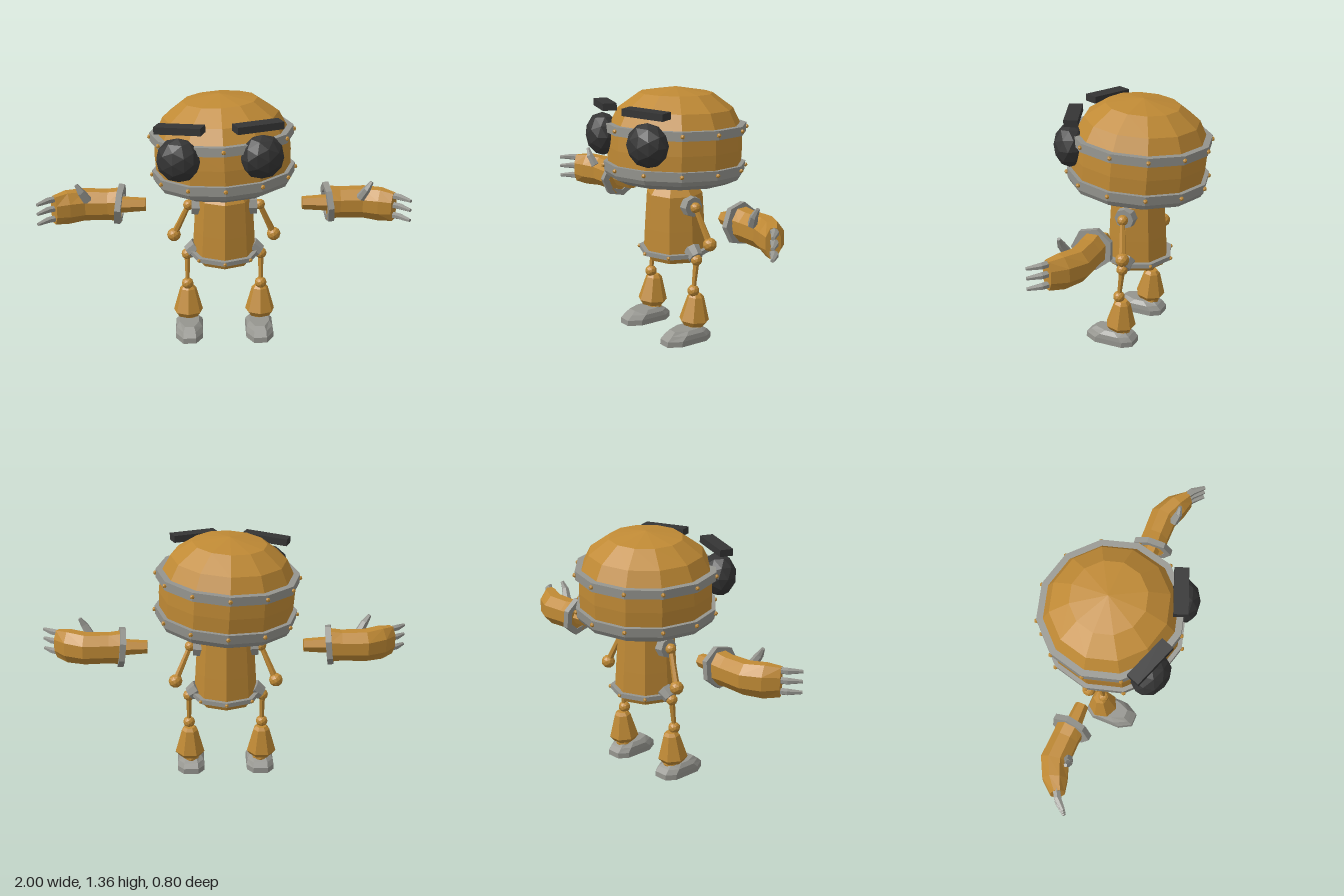
import * as THREE from 'three';

const material = (color) => new THREE.MeshStandardMaterial({ color, flatShading: true, roughness: 0.8 });
const V = (x, y, z) => new THREE.Vector3(x, y, z);

function part(parent, name, geometry, mat) {
  const geo = geometry.index ? geometry.toNonIndexed() : geometry;
  geo.computeVertexNormals();
  const mesh = new THREE.Mesh(geo, mat);
  mesh.name = name;
  parent.add(mesh);
  return mesh;
}

// Faceted turned shape from [radius, height] pairs, listed bottom to top
const turned = (profile, sides) =>
  new THREE.LatheGeometry(profile.map(([r, y]) => new THREE.Vector2(r, y)), sides);

// Hoop with a rectangular section
const hoop = (inner, outer, y0, y1, sides) =>
  turned([[inner, y0], [outer, y0], [outer, y1], [inner, y1], [inner, y0]], sides);

const ball = (r, p, detail = 1) => new THREE.IcosahedronGeometry(r, detail).translate(p.x, p.y, p.z);

// Tapered rod between two points
function rod(a, b, ra, rb, sides = 6) {
  const dir = b.clone().sub(a), mid = a.clone().add(b).multiplyScalar(0.5);
  const q = new THREE.Quaternion().setFromUnitVectors(V(0, 1, 0), dir.clone().normalize());
  return new THREE.CylinderGeometry(rb, ra, dir.length(), sides)
    .applyQuaternion(q).translate(mid.x, mid.y, mid.z);
}

// Closed skin over rings of points
function loft(rings) {
  const pos = [], n = rings[0].length, last = rings[rings.length - 1];
  const tri = (...pts) => pts.forEach((p) => pos.push(p.x, p.y, p.z));
  for (let i = 0; i < rings.length - 1; i++) {
    for (let j = 0; j < n; j++) {
      const k = (j + 1) % n, a = rings[i], b = rings[i + 1];
      tri(a[j], a[k], b[k]);
      tri(a[j], b[k], b[j]);
    }
  }
  for (let j = 1; j < n - 1; j++) {
    tri(rings[0][0], rings[0][j + 1], rings[0][j]);
    tri(last[0], last[j], last[j + 1]);
  }
  return new THREE.BufferGeometry().setAttribute('position', new THREE.Float32BufferAttribute(pos, 3));
}

// Copy of a limb reflected in x, with corner order corrected
function mirrored(group, name) {
  const out = new THREE.Group();
  out.name = name;
  for (const mesh of group.children) {
    const geo = mesh.geometry.clone().scale(-1, 1, 1), p = geo.attributes.position;
    for (let i = 0; i < p.count; i += 3) {
      const a = V().fromBufferAttribute(p, i + 1), b = V().fromBufferAttribute(p, i + 2);
      p.setXYZ(i + 1, b.x, b.y, b.z);
      p.setXYZ(i + 2, a.x, a.y, a.z);
    }
    part(out, mesh.name, geo, mesh.material);
  }
  return out;
}

function rivets(parent, name, count, radius, y, size, mat) {
  for (let i = 0; i < count; i++) {
    const a = (i / count) * Math.PI * 2;
    part(parent, name, ball(size, V(Math.sin(a) * radius, y, Math.cos(a) * radius), 0), mat);
  }
}

export function createModel() {
  const gold = material(0xc08a35), grey = material(0x95958f), dark = material(0x353535);
  const model = new THREE.Group();
  const group = (name) => {
    const g = new THREE.Group();
    g.name = name;
    model.add(g);
    return g;
  };

  // Head, tilted slightly back and to one side
  const head = group('head');
  head.position.set(0, 0.9, -0.01);
  head.rotation.set(-0.053, 0, 0.05);
  part(head, 'skull', turned([[0.36, 0.03], [0.365, 0.14], [0.36, 0.25], [0.31, 0.35],
    [0.2, 0.43], [0, 0.462]], 12), gold);
  part(head, 'jaw', turned([[0, -0.045], [0.3, -0.045], [0.365, -0.015], [0.38, 0.01],
    [0.385, 0.06], [0.35, 0.06]], 12), grey);
  part(head, 'upperBand', hoop(0.35, 0.385, 0.222, 0.27, 12), grey);
  rivets(head, 'jawRivet', 12, 0.385, 0.037, 0.013, gold);
  rivets(head, 'bandRivet', 12, 0.386, 0.247, 0.013, gold);

  // Eyes and brows, each side at its own height
  const face = group('face');
  for (const [side, x, y] of [['left', 0.187, 1.12], ['right', -0.243, 1.105]]) {
    const s = Math.sign(x);
    const eye = part(face, side + 'Eye', new THREE.IcosahedronGeometry(0.118, 1), dark);
    eye.scale.z = 0.78;
    eye.position.set(x, y, 0.293);
    eye.rotation.y = s * 0.35;
    const brow = part(face, side + 'Brow', new THREE.BoxGeometry(0.255, 0.038, 0.075), dark);
    brow.position.set(s > 0 ? 0.165 : -0.235, y + 0.16, s > 0 ? 0.285 : 0.28);
    brow.rotation.set(0, s * 0.36, s > 0 ? 0 : 0.07);
  }

  // Torso with belt and neck
  const torso = group('torso');
  torso.position.z = -0.01;
  part(torso, 'neck', new THREE.CylinderGeometry(0.045, 0.045, 0.08, 8).translate(0, 0.85, 0), gold);
  part(torso, 'body', turned([[0, 0.42], [0.15, 0.42], [0.172, 0.465], [0.165, 0.6], [0.153, 0.79],
    [0.12, 0.835], [0, 0.84]], 8), gold);
  part(torso, 'belt', hoop(0.16, 0.197, 0.456, 0.48, 8), grey);
  rivets(torso, 'beltRivet', 8, 0.198, 0.468, 0.011, gold);

  // Upper arm: socket, joint, rod and elbow ball
  const arm = group('leftUpperArm');
  const shoulder = V(0.193, 0.74, -0.01), elbow = V(0.275, 0.55, -0.045);
  part(arm, 'shoulderSocket', rod(V(0.13, 0.74, -0.01), V(0.178, 0.74, -0.01), 0.06, 0.055, 8), grey);
  part(arm, 'shoulderJoint', ball(0.03, shoulder), gold);
  part(arm, 'armRod', rod(shoulder, elbow, 0.014, 0.019), gold);
  part(arm, 'elbowBall', ball(0.038, elbow), gold);

  // Floating forearm: sleeve, cuff, bent glove, fingers, thumb
  const hand = group('leftHand');
  part(hand, 'sleeve', rod(V(0.425, 0.742, -0.018), V(0.6, 0.742, -0.018), 0.036, 0.048, 6), gold);
  part(hand, 'cuff', hoop(0.075, 0.112, -0.016, 0.016, 7)
    .rotateZ(-Math.PI / 2 + 0.1).rotateY(0.1).translate(0.565, 0.745, -0.018), grey);
  const glove = [
    [0.56, -0.02, 0.073, 0.088], [0.63, -0.025, 0.07, 0.08], [0.76, -0.028, 0.073, 0.083],
    [0.85, 0.012, 0.06, 0.088], [0.915, 0.055, 0.032, 0.078],
  ].map(([x, z, hz, hy], row) => Array.from({ length: 8 }, (_, j) => {
    const a = ((j + 0.5) / 8) * Math.PI * 2, k = 1.08;
    const across = Math.sin(a) * hz * k, bend = [0, 0, 0.15, 0.4, 0.6][row];
    return V(x - across * bend, 0.742 + Math.cos(a) * hy * k, z + across);
  }));
  part(hand, 'glove', loft(glove), gold);
  for (const y of [0.803, 0.75, 0.692]) {
    const path = [V(0.885, y, 0.035), V(0.945, y, 0.07), V(0.995, y - 0.003, 0.125)];
    part(hand, 'finger', loft(path.map((p, i) => Array.from({ length: 6 }, (_, j) => {
      const a = (j / 6) * Math.PI * 2, r = [0.022, 0.021, 0.011][i];
      const w = Math.sin(a) * r, t = [0.5, 0.65, 0.8][i];
      return V(p.x - w * Math.sin(t), p.y + Math.cos(a) * r * 0.85, p.z + w * Math.cos(t));
    }))), grey);
  }
  part(hand, 'thumb', rod(V(0.735, 0.79, 0.04), V(0.767, 0.845, 0.055), 0.026, 0.021), grey);
  part(hand, 'thumbTip', rod(V(0.765, 0.84, 0.055), V(0.792, 0.885, 0.052), 0.021, 0.01), grey);

  // Leg: hip, rod, knee, shin, ankle and shoe
  const leg = group('leftLeg');
  const hip = V(0.203, 0.45, -0.01), knee = V(0.203, 0.28, 0.01);
  part(leg, 'hipSocket', rod(V(0.15, 0.495, -0.015), V(0.197, 0.46, -0.012), 0.05, 0.04, 8), grey);
  part(leg, 'hipBall', ball(0.032, hip), gold);
  part(leg, 'thighRod', rod(hip, knee, 0.018, 0.012), gold);
  part(leg, 'kneeBall', ball(0.033, knee), gold);
  part(leg, 'shin', turned([[0, 0.085], [0.062, 0.085], [0.083, 0.112], [0.046, 0.243], [0.03, 0.26],
    [0, 0.26]], 7).rotateX(-0.08).translate(0.2, 0, 0.012), gold);
  part(leg, 'ankleBall', ball(0.045, V(0.195, 0.07, -0.005)), gold);
  const shoe = [[0, 1, 0.2, -0.083], [0.03, 1, 0.198, -0.083], [0.055, 0.95, 0.17, -0.06],
    [0.075, 0.72, 0.145, -0.03]].map(([y, w, front, back]) => {
    const half = [[0.035, front], [0.075, front - 0.07], [0.075, back + 0.05], [0.04, back]]
      .map(([x, z]) => [x * w, z]);
    return [...half.map(([x, z]) => V(0.195 + x, y, z)),
      ...half.reverse().map(([x, z]) => V(0.195 - x, y, z))];
  });
  part(leg, 'shoe', loft(shoe), grey);

  model.add(mirrored(arm, 'rightUpperArm'), mirrored(hand, 'rightHand'), mirrored(leg, 'rightLeg'));
  return model;
}
